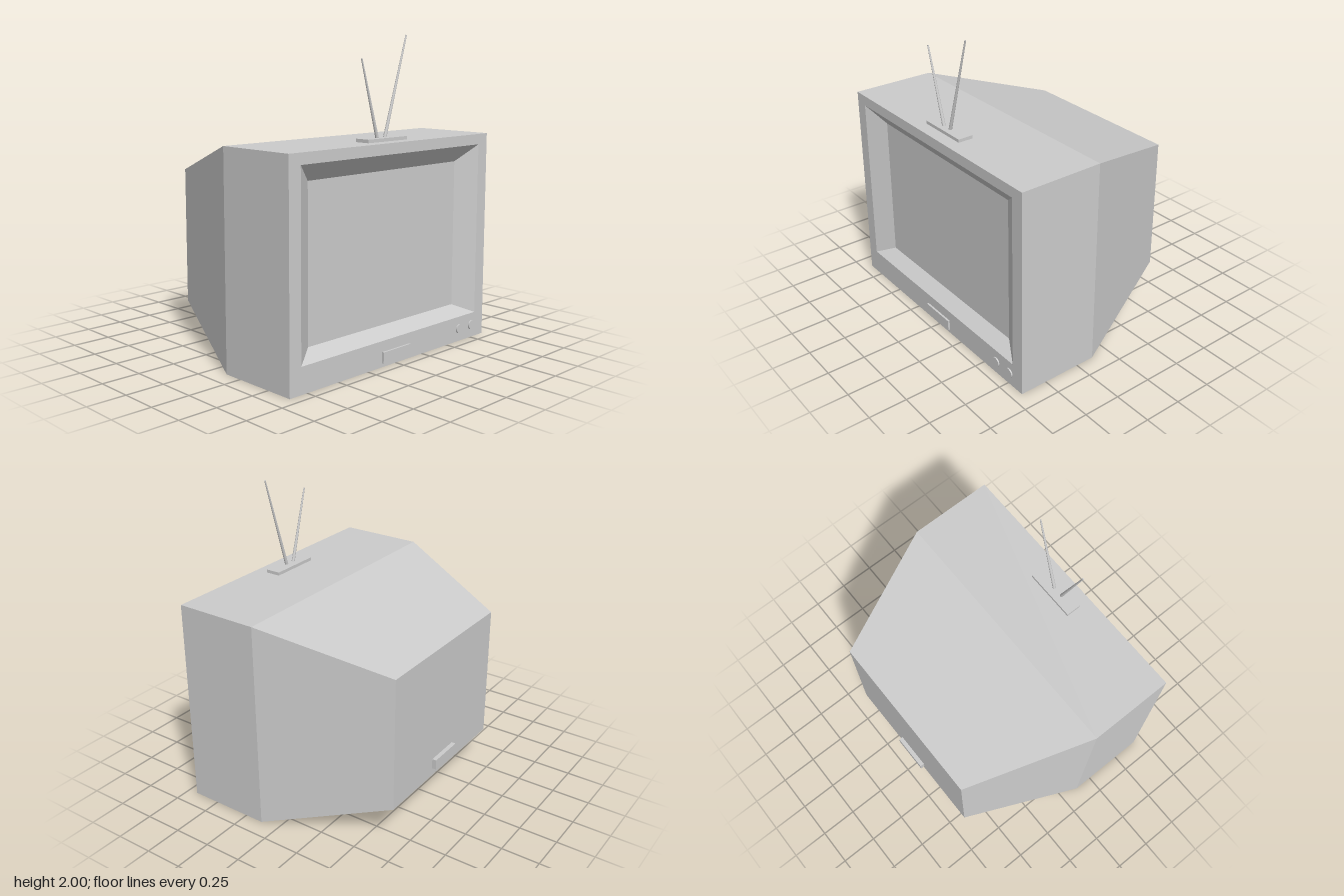
import * as THREE from 'three';

const material = new THREE.MeshStandardMaterial({ color: 0xcccccc, flatShading: true });

function add(parent, name, geometry, x = 0, y = 0, z = 0) {
  const mesh = new THREE.Mesh(geometry, material);
  mesh.name = name;
  mesh.position.set(x, y, z);
  parent.add(mesh);
  return mesh;
}

// Corners of a rectangle at depth z, counter-clockwise seen from the front
const ring = (x0, x1, y0, y1, z) => [[x0, y0, z], [x1, y0, z], [x1, y1, z], [x0, y1, z]];

// Skin of quads between successive rings, running from front to back
function loft(rings, { frontCap = false, backCap = false } = {}) {
  const pos = [];
  const quad = (a, b, c, d) => pos.push(...a, ...b, ...c, ...a, ...c, ...d);
  for (let r = 0; r < rings.length - 1; r++) {
    const p = rings[r], q = rings[r + 1];
    for (let i = 0; i < 4; i++) {
      const j = (i + 1) % 4;
      quad(p[i], q[i], q[j], p[j]);
    }
  }
  const last = rings[rings.length - 1];
  if (frontCap) quad(...rings[0]);
  if (backCap) quad(last[3], last[2], last[1], last[0]);
  const geometry = new THREE.BufferGeometry();
  geometry.setAttribute('position', new THREE.Float32BufferAttribute(pos, 3));
  geometry.computeVertexNormals();
  return geometry;
}

// Tapered rod from one point to another
function rod(parent, name, from, to) {
  const a = new THREE.Vector3(...from), b = new THREE.Vector3(...to);
  const dir = b.clone().sub(a);
  const mesh = add(parent, name, new THREE.CylinderGeometry(0.005, 0.011, dir.length(), 10));
  mesh.position.copy(a).add(b).multiplyScalar(0.5);
  mesh.quaternion.setFromUnitVectors(new THREE.Vector3(0, 1, 0), dir.normalize());
}

export function createModel() {
  const model = new THREE.Group();
  model.name = 'television';

  // Screen, sloped bezel, front frame, box and tapered back
  const screen = ring(-0.665, 0.65, 0.23, 1.19, 0.6);
  const opening = ring(-0.795, 0.795, 0.165, 1.297, 0.683);
  const front = ring(-0.883, 0.883, 0, 1.365, 0.683);
  const middle = ring(-0.883, 0.883, 0, 1.365, 0.125);
  const back = ring(-0.577, 0.577, 0.24, 1.13, -0.67);
  add(model, 'cabinet', loft([opening, front, middle, back], { backCap: true }));
  add(model, 'bezel', loft([screen, opening]));
  add(model, 'screen', loft([screen], { frontCap: true }));

  // Front plate, knobs and rear plate
  add(model, 'frontPlate', new THREE.BoxGeometry(0.248, 0.072, 0.03), 0, 0.06, 0.681);
  for (const x of [0.63, 0.76]) {
    const knob = new THREE.CylinderGeometry(0.031, 0.031, 0.03, 24).rotateX(Math.PI / 2);
    add(model, 'knob', knob, x, 0.084, 0.677);
  }
  add(model, 'rearPlate', new THREE.BoxGeometry(0.248, 0.068, 0.05), 0, 0.329, -0.673);

  // Aerial with two rods of different length
  const aerial = new THREE.Group();
  aerial.name = 'aerial';
  add(aerial, 'aerialBase', new THREE.BoxGeometry(0.345, 0.03, 0.1), 0, 1.371, 0.55);
  rod(aerial, 'rightRod', [-0.045, 1.375, 0.555], [-0.187, 1.86, 0.555]);
  rod(aerial, 'leftRod', [0.018, 1.375, 0.555], [0.206, 1.999, 0.555]);
  model.add(aerial);

  return model;
}
